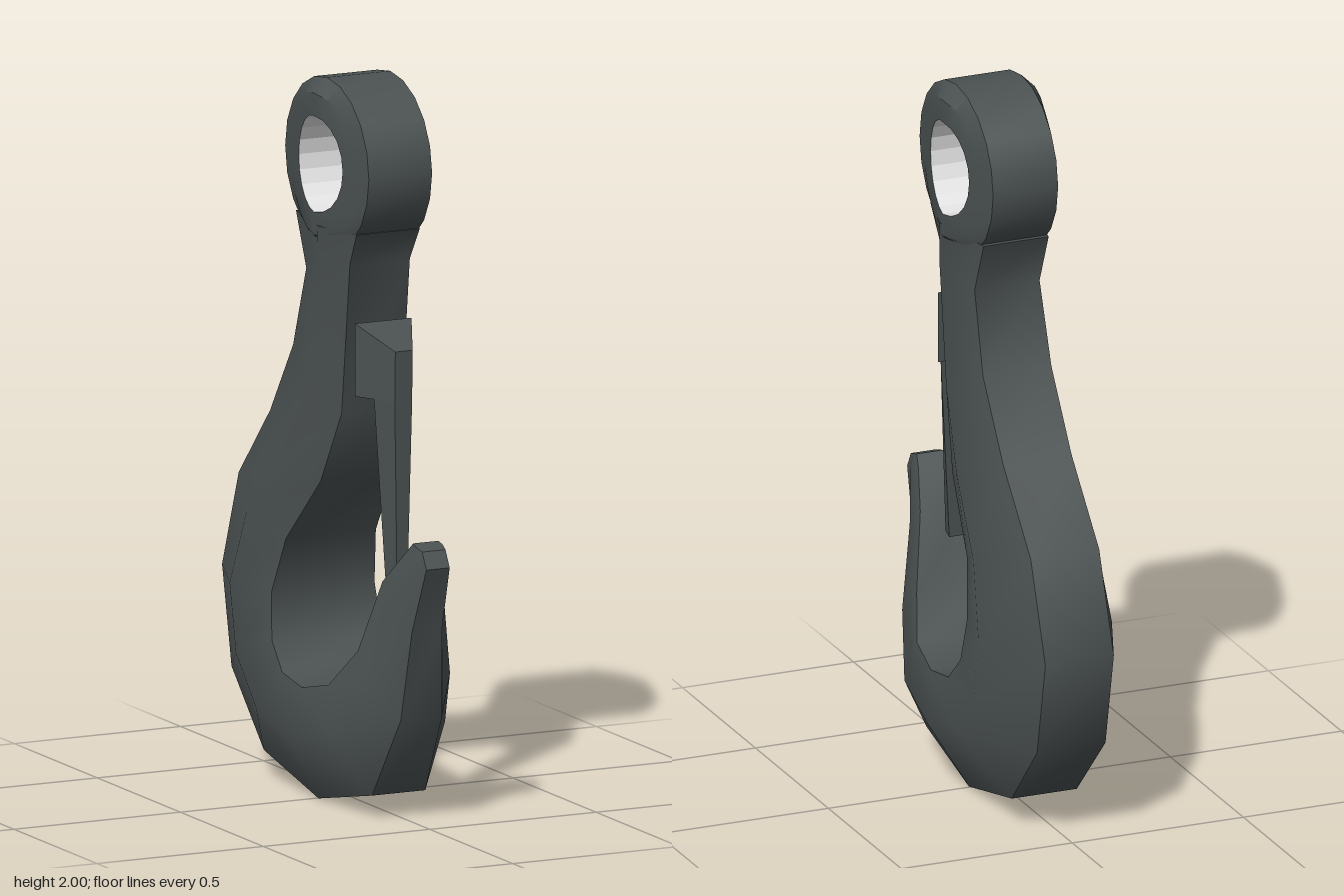
import * as THREE from 'three';
import { toCreasedNormals } from 'three/addons/utils/BufferGeometryUtils.js';

const steel = new THREE.MeshStandardMaterial({ color: 0x4b5151 });
steel.name = 'dark steel';
const bare = new THREE.MeshStandardMaterial({ color: 0xe4e4e4 });
bare.name = 'bare metal';

// Skin a row of cross-sections. ring: the path closes on itself and the sections are open strips.
function loft(sections, ring = false, crease = 0.75) {
  const n = sections[0].length, m = sections.length;
  const pos = sections.flat(2), index = [];
  for (let i = 0; i < (ring ? m : m - 1); i++) {
    for (let j = 0; j < (ring ? n - 1 : n); j++) {
      const k = (j + 1) % n, p = i * n, q = ((i + 1) % m) * n;
      index.push(p + j, p + k, q + k, p + j, q + k, q + j);
    }
  }
  if (!ring) {
    const e = (m - 1) * n;
    for (let k = 1; k < n - 1; k++) index.push(0, k + 1, k, e, e + k, e + k + 1);
  }
  const g = new THREE.BufferGeometry();
  g.setAttribute('position', new THREE.Float32BufferAttribute(pos, 3));
  g.setIndex(index);
  return toCreasedNormals(g, crease);
}

function add(parent, name, geometry, material) {
  const mesh = new THREE.Mesh(geometry, material);
  mesh.name = name;
  parent.add(mesh);
  return mesh;
}

// Each station: outer z, y; inner z, y; half widths at outer face, ridge, inner face
const STATIONS = [
  [-0.115, 1.6, 0.25, 1.6, 0.095, 0.135, 0.095],
  [-0.053, 1.453, 0.2, 1.51, 0.095, 0.135, 0.09],
  [-0.122, 1.23, 0.15, 1.09, 0.1, 0.14, 0.09],
  [-0.26, 1.024, 0.064, 0.89, 0.1, 0.157, 0.11],
  [-0.45, 0.817, -0.095, 0.705, 0.1, 0.18, 0.135],
  [-0.55, 0.546, -0.143, 0.55, 0.1, 0.195, 0.155],
  [-0.493, 0.276, -0.12, 0.424, 0.1, 0.195, 0.165],
  [-0.308, 0.08, -0.048, 0.35, 0.095, 0.195, 0.17],
  [0.005, 0.005, 0.07, 0.33, 0.087, 0.195, 0.17],
  [0.313, 0.07, 0.2, 0.36, 0.08, 0.172, 0.155],
  [0.45, 0.3, 0.297, 0.467, 0.062, 0.13, 0.115],
  [0.483, 0.546, 0.366, 0.668, 0.045, 0.085, 0.075],
  [0.55, 0.73, 0.45, 0.762, 0.035, 0.05, 0.045],
  [0.525, 0.775, 0.477, 0.79, 0.035, 0.04, 0.038],
];

function hookSection([oz, oy, iz, iy, wo, wr, wi]) {
  const t = 0.58, rz = oz + (iz - oz) * t, ry = oy + (iy - oy) * t;
  return [[-wo, oy, oz], [wo, oy, oz], [wr, ry, rz], [wi, iy, iz], [-wi, iy, iz], [-wr, ry, rz]];
}

// Four-cornered slice of the latch: back edge and front edge as z, y, half width
const latchSection = (bz, by, bw, fz, fy, fw) =>
  [[-bw, by, bz], [bw, by, bz], [fw, fy, fz], [-fw, fy, fz]];

export function createModel() {
  const model = new THREE.Group();
  model.name = 'safetyHook';

  // Shank, bowl and tip in one tapering sweep
  add(model, 'hookBody', loft(STATIONS.map(hookSection)), steel);

  // Eye: side faces are highest along the centre line and fall off to front and back
  const eye = new THREE.Group();
  eye.name = 'eye';
  model.add(eye);
  const shell = [], bore = [], N = 20, CZ = 0.072, CY = 1.766;
  for (let i = 0; i < N; i++) {
    const a = (i / N) * Math.PI * 2, s = Math.sin(a), c = Math.cos(a);
    const point = (rz, ry, side, flat) => {
      const w = flat ? 0.095 : 0.095 + 0.04 * (1 - Math.abs(rz * s) / 0.252);
      return [side * w, CY + ry * c, CZ - rz * s];
    };
    const half = (d) => [point(0.132, 0.132, d), point(0.205, 0.195, d), point(0.252, 0.234, d, true)];
    shell.push([...half(-1), ...half(1).reverse()]);
    bore.push([point(0.132, 0.132, 1), point(0.132, 0.132, -1)]);
  }
  add(eye, 'eyeRing', loft(shell, true, 0.6), steel);
  add(eye, 'eyeBore', loft(bore, true, 0.2), bare);

  // Spring latch: wedge head, long tapering arm and pivot peg
  const latch = new THREE.Group();
  latch.name = 'latch';
  model.add(latch);
  add(latch, 'latchHead', loft([
    latchSection(0.22, 1.35, 0.085, 0.345, 1.29, 0.026),
    latchSection(0.22, 1.15, 0.085, 0.342, 1.15, 0.026),
  ], false, 0.3), steel);
  add(latch, 'latchArm', loft([
    latchSection(0.275, 1.15, 0.055, 0.342, 1.15, 0.026),
    latchSection(0.287, 0.615, 0.024, 0.334, 0.615, 0.015),
  ], false, 0.3), steel);
  const peg = add(latch, 'latchPeg', new THREE.BoxGeometry(0.08, 0.11, 0.1), steel);
  peg.position.set(0, 1.25, 0.175);

  return model;
}
